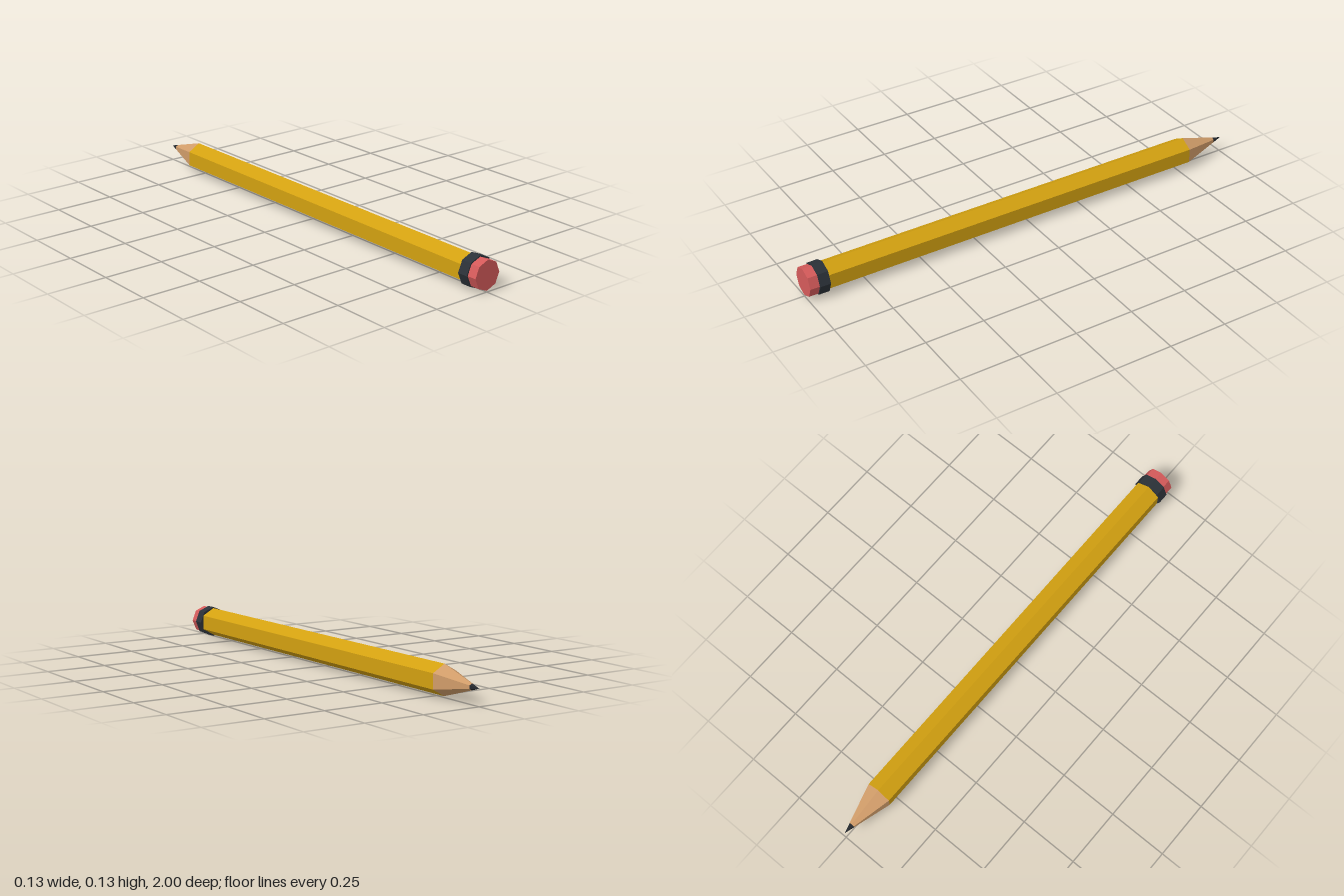
import * as THREE from 'three';

const AXIS_Y = 0.066;

function flat(name, color) {
  const m = new THREE.MeshStandardMaterial({ color, flatShading: true });
  m.name = name;
  return m;
}

export function createModel() {
  const pencil = new THREE.Group();
  pencil.name = 'pencil';

  const yellow = flat('yellowPaint', 0xd2a010);
  const wood = flat('bareWood', 0xd09c69);
  const dark = flat('darkMetal', 0x2b3138);
  const lead = flat('graphite', 0x24282d);
  const pink = flat('pinkRubber', 0xd45a5a);

  // Prism or frustum along z, with one corner pointing straight up
  function segment(name, material, sides, zFront, rFront, zBack, rBack) {
    const geo = new THREE.CylinderGeometry(rBack, rFront, zFront - zBack, sides);
    geo.rotateX(-Math.PI / 2);
    const mesh = new THREE.Mesh(geo, material);
    mesh.name = name;
    mesh.position.set(0, AXIS_Y, (zFront + zBack) / 2);
    pencil.add(mesh);
  }

  // Rubber end and its band, both eight-sided
  segment('eraser', pink, 8, 1.0, 0.061, 0.95, 0.061);
  segment('ferrule', dark, 8, 0.96, 0.066, 0.915, 0.066);

  // Six-sided shaft and sharpened end
  const shaftR = 0.061, coneZ = -0.795, leadZ = -0.957;
  const leadR = shaftR * (1 + leadZ) / (1 + coneZ);
  segment('shaft', yellow, 6, 0.92, shaftR, coneZ, shaftR);
  segment('sharpenedWood', wood, 6, coneZ, shaftR, leadZ, leadR);
  segment('leadTip', lead, 6, leadZ, leadR, -1.0, 0);

  return pencil;
}
